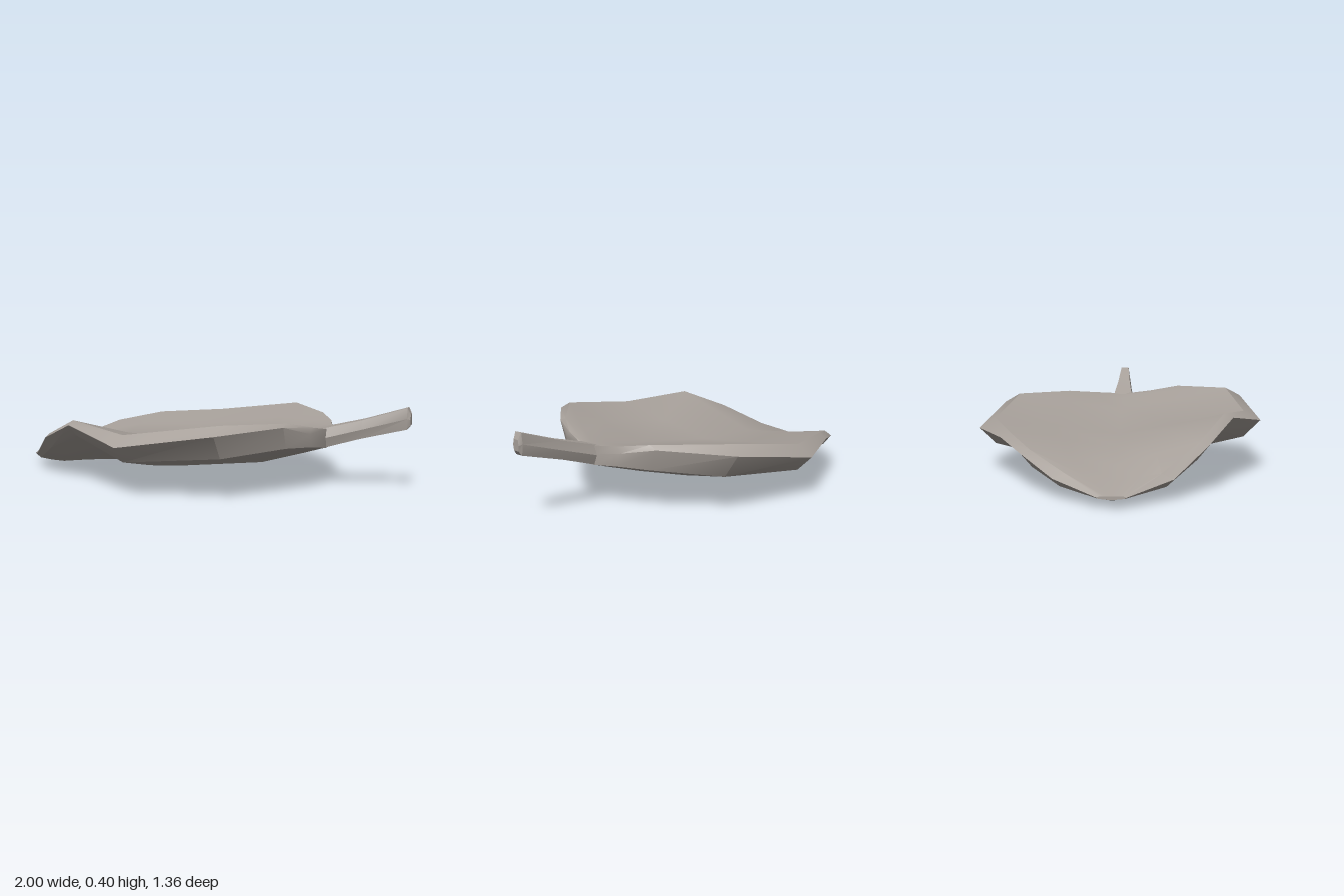
import * as THREE from 'three';
import { toCreasedNormals } from 'three/addons/utils/BufferGeometryUtils.js';

// Skin a list of closed cross-sections that run along x, with flat end caps;
// edges sharper than the crease angle stay crisp
function loft(rings, crease) {
  const n = rings[0].length;
  const last = (rings.length - 1) * n;
  const index = [];
  for (let i = 0; i < last; i += n) {
    for (let j = 0; j < n; j++) {
      const a = i + j, b = i + (j + 1) % n;
      index.push(a, b, a + n, b, b + n, a + n);
    }
  }
  for (let j = 1; j < n - 1; j++) {
    index.push(0, j + 1, j);
    index.push(last, last + j, last + j + 1);
  }
  const g = new THREE.BufferGeometry();
  g.setAttribute('position', new THREE.Float32BufferAttribute(rings.flat(2), 3));
  g.setIndex(index);
  return toCreasedNormals(g, crease);
}

// One dished leaf section: valley in the middle, bevelled rim, the back side drooping by drop
function leafRing([x, w, rim, edge, rimTop, rimLow, midTop, midLow, drop]) {
  const mix = THREE.MathUtils.lerp;
  const half = [
    [0, midTop],
    [0.45 * w, mix(midTop, rimTop, 0.48)],
    [rim * w, rimTop],
    [w, edge],
    [0.88 * w, rimLow],
    [0.48 * w, mix(midLow, rimLow, 0.5)],
    [0, midLow],
  ];
  const point = (side) => ([z, y]) => [x, y - (side < 0 ? drop * z / w : 0), side * z];
  return [...half.map(point(1)), ...half.slice(1, -1).reverse().map(point(-1))];
}

export function createModel() {
  const group = new THREE.Group();
  group.name = 'leaf';
  const leafGrey = new THREE.MeshStandardMaterial({ color: 0xa8a19b });
  leafGrey.name = 'warm grey';

  // Blade: x, half width, rim fraction, edge y, rim top y, rim underside y,
  // valley top y, valley underside y, droop of the back edge
  const stations = [
    [-1.0, 0.06, 0.8, 0.045, 0.05, 0.04, 0.05, 0.035, 0],
    [-0.86, 0.25, 0.8, 0.09, 0.115, 0.06, 0.085, 0.0, 0],
    [-0.71, 0.4, 0.9, 0.205, 0.22, 0.145, 0.12, 0.02, 0.04],
    [-0.5, 0.52, 0.92, 0.297, 0.315, 0.24, 0.165, 0.04, 0.095],
    [-0.17, 0.68, 0.88, 0.24, 0.285, 0.16, 0.17, 0.03, 0.045],
    [0.28, 0.62, 0.88, 0.31, 0.348, 0.2, 0.23, 0.085, 0.04],
    [0.5, 0.34, 0.88, 0.322, 0.335, 0.22, 0.262, 0.15, 0.035],
    [0.58, 0.19, 0.88, 0.275, 0.302, 0.21, 0.275, 0.175, 0.015],
    [0.615, 0.06, 0.88, 0.24, 0.28, 0.19, 0.28, 0.187, 0],
  ];
  const blade = new THREE.Mesh(loft(stations.map(leafRing), 0.6), leafGrey);
  blade.name = 'blade';

  // Stem: six-sided, tapering and rising to a chamfered end
  // x, half width, top y, bottom y
  const stemRings = [
    [0.59, 0.065, 0.278, 0.184],
    [0.78, 0.045, 0.328, 0.242],
    [0.985, 0.028, 0.395, 0.295],
    [1.0, 0.02, 0.365, 0.315],
  ].map(([x, w, top, low]) => {
    const mid = (top + low) / 2;
    return [
      [x, top, 0.75 * w], [x, mid, w], [x, low, 0.75 * w],
      [x, low, -0.75 * w], [x, mid, -w], [x, top, -0.75 * w],
    ];
  });
  const stem = new THREE.Mesh(loft(stemRings, 0.3), leafGrey);
  stem.name = 'stem';
  stem.position.z = -0.006;

  group.add(blade, stem);
  return group;
}
